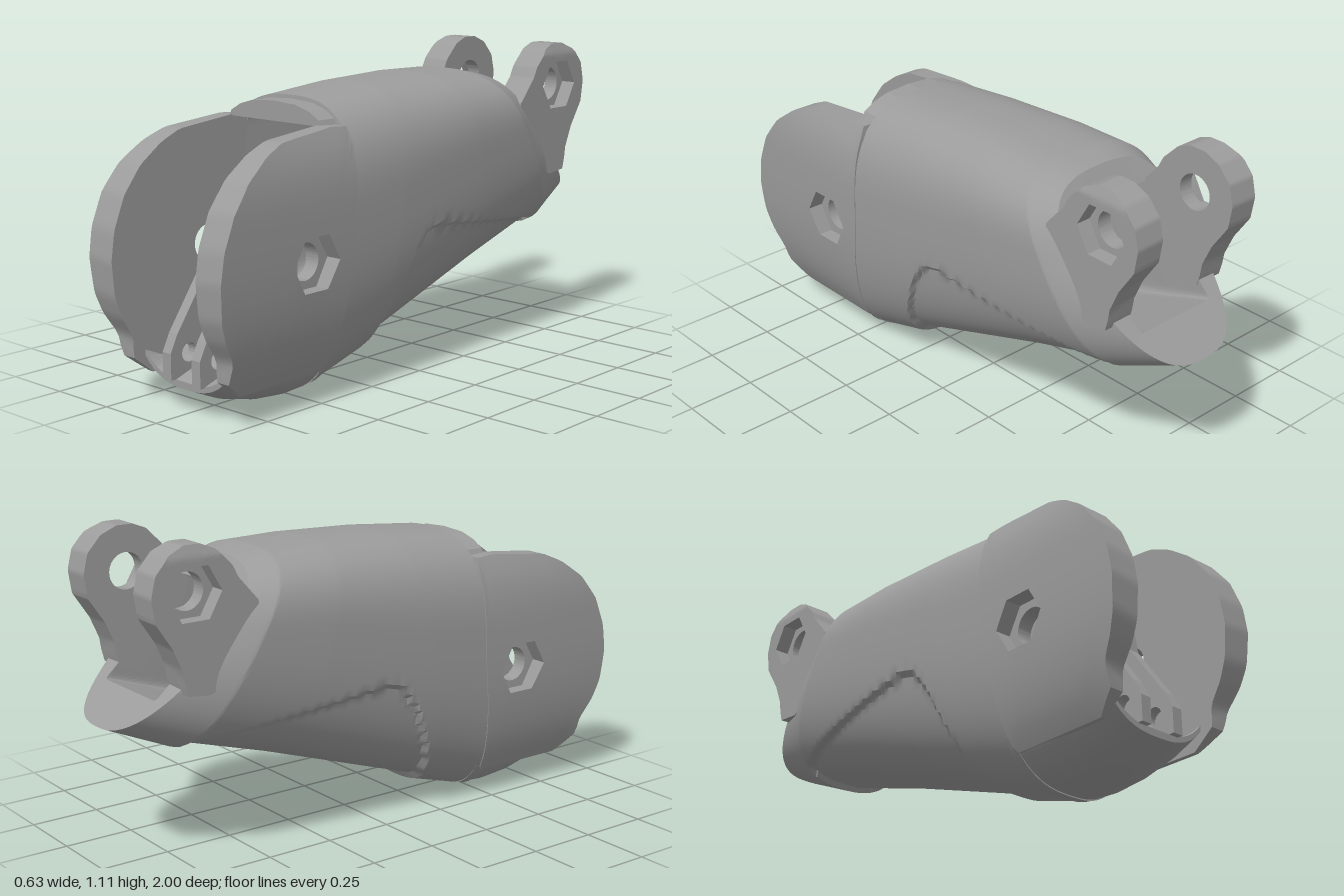
import * as THREE from 'three';
import { toCreasedNormals } from 'three/addons/utils/BufferGeometryUtils.js';

const { lerp, smoothstep } = THREE.MathUtils;
const material = new THREE.MeshStandardMaterial({ color: 0x9c9c9c });

// Skin a list of closed point rings; closeRows joins the last ring to the first.
function skin(rows, closeRows, crease = 0.5) {
  const n = rows[0].length, index = [];
  for (let i = 0; i < rows.length - (closeRows ? 0 : 1); i++) {
    const k = (i + 1) % rows.length;
    for (let j = 0; j < n; j++) {
      const m = (j + 1) % n;
      const a = i * n + j, b = i * n + m, c = k * n + m, d = k * n + j;
      index.push(a, b, d, b, c, d);
    }
  }
  const geo = new THREE.BufferGeometry();
  geo.setAttribute('position', new THREE.Float32BufferAttribute(rows.flat(2), 3));
  geo.setIndex(index);
  return toCreasedNormals(geo, crease);
}

// Superellipse half width at t (-1..1 of the half height)
const bulge = (t) => Math.pow(Math.max(0, 1 - Math.pow(Math.min(1, Math.abs(t)), 2.7)), 0.37);
const shellWidth = (y) => 0.315 * bulge(y > 0.64 ? (y - 0.64) / 0.4 : (0.64 - y) / 0.64);
const signedPow = (c, p) => Math.sign(c) * Math.pow(Math.abs(c), p);

// Piecewise linear lookup; x of the points decreases
function lookup(points, x) {
  for (let i = 1; i < points.length; i++) {
    const [x0, y0] = points[i - 1], [x1, y1] = points[i];
    if (x <= x0 && x >= x1) return lerp(y0, y1, (x0 - x) / (x0 - x1));
  }
  return -1;
}

// Hollow sleeve of slanted sections:
// [bottom z, bottom y, top z, top y, half width, floor y, roof y, inner half width, floor rounding, bend]
function sleeveGeometry() {
  const keys = [
    [0.48, 0.005, 0.38, 1.0, 0.312, 0.24, 0.92, 0.2, 0.3, 0],
    [0.24, 0.075, 0.1, 1.025, 0.315, 0.3, 0.92, 0.19, 0.25, 0],
    [-0.4, 0.29, -0.2, 1.035, 0.312, 0.43, 0.92, 0.175, 0.15, 0],
    [-0.78, 0.405, -0.41, 1.03, 0.305, 0.54, 0.92, 0.165, 0.08, 0],
    [-1.0, 0.5, -0.51, 1.01, 0.255, 0.6, 0.92, 0.163, 0.06, 0.2],
  ];
  const padEdge = [[0.24, 0.07], [0.18, 0.25], [0.1, 0.43], [0.05, 0.5], [0, 0.54], [-0.1, 0.535], [-0.3, 0.51], [-0.76, 0.45]];
  const outer = [], inner = [], N = 120, steps = 36;
  for (let i = 0; i <= (keys.length - 1) * steps; i++) {
    const k = Math.min(keys.length - 2, Math.floor(i / steps));
    const [zb, yb, zt, yt, w, floor, roof, wi, round, bend] =
      keys[k].map((v, q) => lerp(v, keys[k + 1][q], i / steps - k));
    const zAt = (v) => lerp(zb, zt, v) + bend * v * (1 - v);
    const o = [], n = [];
    for (let j = 0; j < N; j++) {
      const a = (j / N) * Math.PI * 2, c = Math.cos(a), s = Math.sin(a);
      const so = signedPow(s, 2 / 2.7);
      const v = 0.63 + so * (so > 0 ? 0.37 : 0.63);
      const x = w * signedPow(c, 2 / 2.7), y = lerp(yb, yt, v), z = zAt(v);
      // Recessed palm pad below its edge line
      const sink = smoothstep(lookup(padEdge, z) - y, 0, 0.03);
      o.push([x * (1 - 0.06 * sink), y + 0.02 * (1 - v) * sink, z]);
      const p = s > 0 ? 0.06 : round;
      const yi = (floor + roof) / 2 + signedPow(s, p) * (roof - floor) / 2;
      n.push([wi * signedPow(c, p), yi, zAt((yi - yb) / (yt - yb))]);
    }
    outer.push(o);
    inner.push(n);
  }
  return skin([...inner, ...outer.reverse()], true, 0.6);
}

// Upright plate with a round bore and hexagonal pocket; outline points are [z, y] around the centre
function plateGeometry({ centre: [cz, cy], bore, hex, pocketX, innerX, outerX, outline }) {
  const N = 120;
  const reach = (a) => {
    const dz = Math.cos(a), dy = Math.sin(a);
    let best = 0;
    outline.forEach(([z0, y0], i) => {
      const [z1, y1] = outline[(i + 1) % outline.length];
      const ez = z1 - z0, ey = y1 - y0, det = dz * ey - dy * ez;
      if (Math.abs(det) < 1e-9) return;
      const r = ((z0 - cz) * ey - (y0 - cy) * ez) / det;
      const u = ((z0 - cz) * dy - (y0 - cy) * dz) / det;
      if (r > 0 && u >= -1e-6 && u <= 1 + 1e-6) best = Math.max(best, r);
    });
    return best;
  };
  const sixth = Math.PI / 3;
  const hexR = (a) => hex * Math.cos(sixth / 2) / Math.cos((a % sixth) - sixth / 2);
  const ring = (radius, xAt) => Array.from({ length: N }, (_, j) => {
    const a = (j / N) * Math.PI * 2, r = radius(a);
    const y = cy + r * Math.sin(a), z = cz + r * Math.cos(a);
    return [xAt(y), y, z];
  });
  const rows = [ring(() => bore, () => innerX), ring(() => bore, () => pocketX), ring(hexR, () => pocketX)];
  for (let f = 0; f <= 6; f++) rows.push(ring((a) => lerp(hexR(a), reach(a), f / 6), outerX));
  rows.push(ring(reach, () => innerX));
  return skin(rows, true);
}

// Curved tray under the fork: [z, bottom lift, floor y]
function trayGeometry() {
  const stations = [[0.44, 0.012, 0.25], [0.55, 0.005, 0.2], [0.66, 0.015, 0.17], [0.78, 0.045, 0.14], [0.87, 0.085, 0.11]];
  const xs = Array.from({ length: 25 }, (_, i) => (i / 12 - 1) * 0.245);
  const under = (x) => 0.64 * (1 - Math.pow(1 - Math.pow(Math.abs(x) / 0.315, 2.7), 0.37));
  const row = ([z, lift, floor], cap) => {
    const bottom = xs.map((x) => [x, under(x) + lift, z]);
    const top = bottom.map(([x, y]) => [x, Math.max(floor, y + 0.02), z]);
    if (cap) bottom.forEach((p, i) => { p[1] = top[i][1] = (p[1] + top[i][1]) / 2; });
    return [...bottom, ...top.reverse()];
  };
  const rows = stations.map((s) => row(s, false));
  return skin([row(stations[0], true), ...rows, row(stations[4], true)], false);
}

// Side profile of [z, y] points extruded across x0..x1, with round holes [z, y, radius]
function profileGeometry(points, x0, x1, holes) {
  const shape = new THREE.Shape(points.map(([z, y]) => new THREE.Vector2(-z, y)));
  for (const [z, y, r] of holes) shape.holes.push(new THREE.Path().absarc(-z, y, r, 0, Math.PI * 2, true));
  const geo = new THREE.ExtrudeGeometry(shape, { depth: x1 - x0, bevelEnabled: false, curveSegments: 10 });
  return geo.rotateY(Math.PI / 2).translate(x0, 0, 0);
}

// Arched lip at the front of the roof
function roofLipGeometry() {
  const arch = [[-0.215, 0.92], [0.215, 0.92], [0.205, 0.94], [0.16, 0.965], [0.1, 0.982], [0, 0.988],
    [-0.1, 0.982], [-0.16, 0.965], [-0.205, 0.94]];
  const shape = new THREE.Shape(arch.map(([x, y]) => new THREE.Vector2(x, y)));
  return new THREE.ExtrudeGeometry(shape, { depth: 0.1, bevelEnabled: false }).translate(0, 0, 0.36);
}

export function createModel() {
  const model = new THREE.Group();
  model.name = 'fingerSegment';
  const add = (name, geo, mirrored = false) => {
    const mesh = new THREE.Mesh(geo, material);
    mesh.name = name;
    if (mirrored) mesh.scale.x = -1;
    model.add(mesh);
  };
  const addPair = (name, geo) => {
    add('left' + name, geo);
    add('right' + name, geo, true);
  };

  add('sleeve', sleeveGeometry());
  add('tray', trayGeometry());
  add('roofLip', roofLipGeometry());

  // Fork cheeks carrying the front pivot
  addPair('Cheek', plateGeometry({
    centre: [0.58, 0.5], bore: 0.063, hex: 0.105, pocketX: 0.255, innerX: 0.2,
    outerX: (y) => Math.max(0.205, shellWidth(y)),
    outline: [[0.46, 0.1], [0.4, 0.55], [0.385, 0.92], [0.46, 0.925], [0.7, 0.9], [0.78, 0.865], [0.87, 0.8],
      [0.94, 0.71], [0.985, 0.6], [1, 0.5], [0.99, 0.38], [0.965, 0.31], [0.92, 0.235], [0.92, 0.165], [0.84, 0.1]],
  }));

  // Rear hinge lugs
  addPair('RearLug', plateGeometry({
    centre: [-0.78, 0.955], bore: 0.063, hex: 0.1, pocketX: 0.215, innerX: 0.16,
    outerX: (y) => (y > 1.07 ? lerp(0.27, 0.255, (y - 1.07) / 0.04) : 0.27),
    outline: [[-0.62, 0.99], [-0.64, 1.03], [-0.7, 1.09], [-0.75, 1.11], [-0.81, 1.11], [-0.87, 1.085], [-0.92, 1.03],
      [-0.937, 0.96], [-0.925, 0.88], [-0.865, 0.79], [-0.83, 0.71], [-0.82, 0.63], [-0.72, 0.62], [-0.58, 0.78], [-0.54, 0.9]],
  }));

  // Barrel on the front pivot, held by two legs standing on the tray
  const pivot = [0.58, 0.5, 0.065];
  const barrel = Array.from({ length: 11 }, (_, i) => {
    const a = Math.PI * (1 - i / 10);
    return [0.58 + 0.135 * Math.cos(a), 0.5 + 0.137 * Math.sin(a)];
  });
  addPair('BracketLeg', profileGeometry(
    [...barrel, [0.72, 0.46], [0.86, 0.26], [0.89, 0.2], [0.89, 0.11], [0.72, 0.11], [0.45, 0.2]],
    0.05, 0.09, [pivot, [0.81, 0.19, 0.032]]));
  add('bracketBarrel', profileGeometry(
    [...barrel, [0.69, 0.44], [0.53, 0.31], [0.53, 0.18], [0.45, 0.2]], -0.05, 0.05, [pivot]));
  return model;
}
